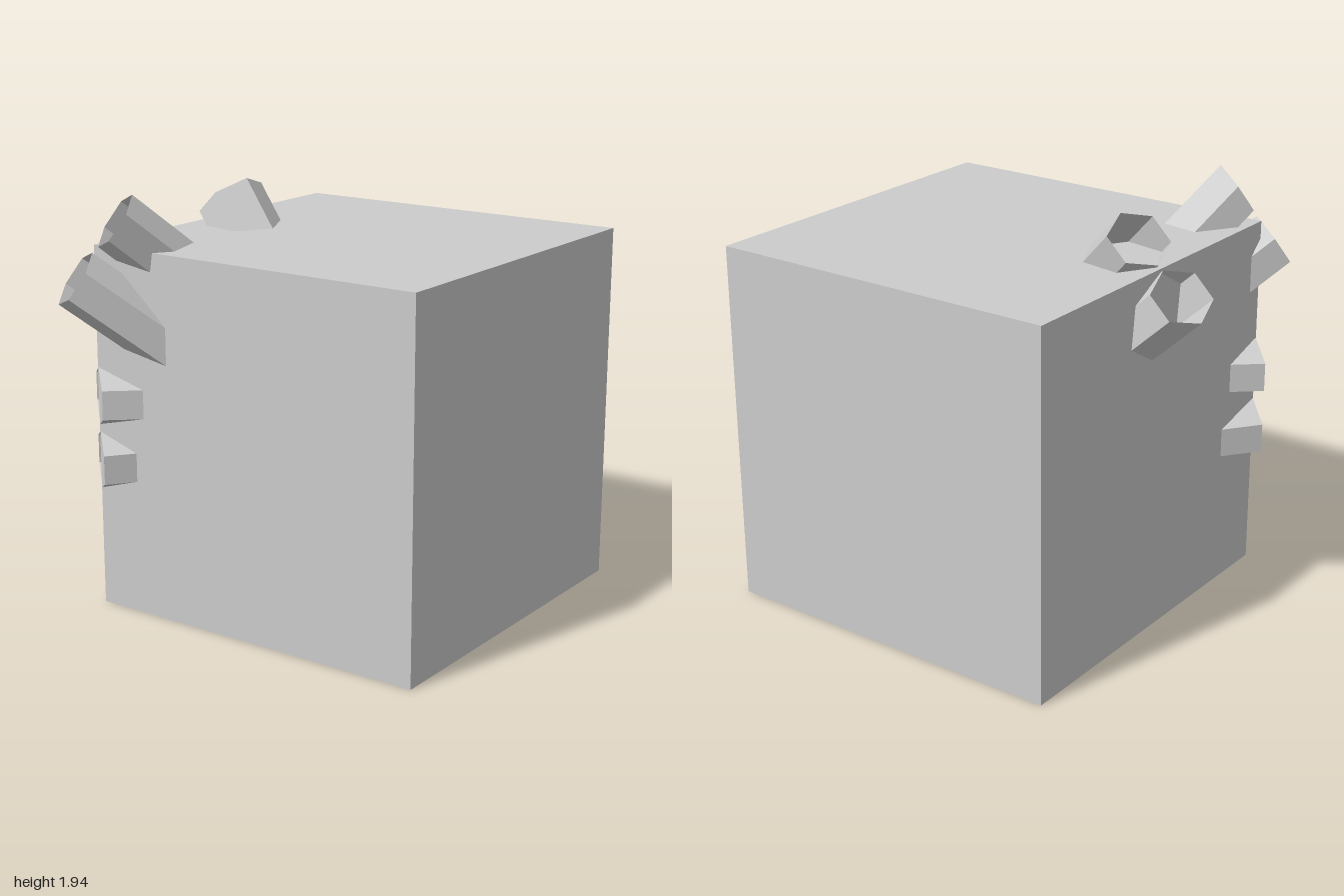
import * as THREE from 'three';

const material = () => new THREE.MeshStandardMaterial({ color: 0xcccccc, flatShading: true, side: THREE.DoubleSide });
const vec = (a) => new THREE.Vector3(...a);

// Open six-sided tube: a mouth at centre (half width and half height vectors), running inward into the block
function hexTube(name, centre, halfWidth, halfHeight, inward, depth = 0.6) {
  const geometry = new THREE.CylinderGeometry(1, 1, 1, 6, 1, true).translate(0, -0.5, 0);
  const across = vec(halfWidth).divideScalar(Math.sin(Math.PI / 3));
  const outward = vec(inward).normalize().multiplyScalar(-depth);
  const basis = new THREE.Matrix4().makeBasis(across, outward, vec(halfHeight)).setPosition(...centre);
  const mesh = new THREE.Mesh(geometry.applyMatrix4(basis), material());
  mesh.name = name;
  return mesh;
}

export function createModel() {
  const model = new THREE.Group();
  model.name = 'blockWithTubes';

  // Main cube
  const size = 1.705;
  const block = new THREE.Mesh(new THREE.BoxGeometry(size, size, size), material());
  block.name = 'block';
  block.position.set(0.147, size / 2, 0.105);
  model.add(block);

  // Pair straddling the top back edge
  const edgeW = [0.176, 0, 0], edgeV = [0, 0.098, 0.098];
  model.add(hexTube('topEdgeTube', [0.142, 1.815, -0.637], edgeW, edgeV, [-0.36, -1, 1]));
  model.add(hexTube('backEdgeTube', [0.142, 1.602, -0.857], edgeW, edgeV, [0.25, -1, 1.05]));

  // Pair at the top back corner
  const cornerW = [0.12, 0, -0.12], cornerV = [0.055, 0.114, 0.055];
  model.add(hexTube('topCornerTube', [-0.725, 1.83, -0.6], cornerW, cornerV, [1.08, -1, 0.55]));
  model.add(hexTube('sideCornerTube', [-0.852, 1.577, -0.73], cornerW, cornerV, [1, -1.07, 1]));

  // Pair stacked on the vertical back edge
  const sideW = [0.12, 0, -0.125], sideV = [0, 0.135, 0];
  model.add(hexTube('upperSideTube', [-0.705, 1.005, -0.745], sideW, sideV, [0.65, 0, 0.75]));
  model.add(hexTube('lowerSideTube', [-0.705, 0.7, -0.745], sideW, sideV, [0.8, 0, 0.6]));

  return model;
}
